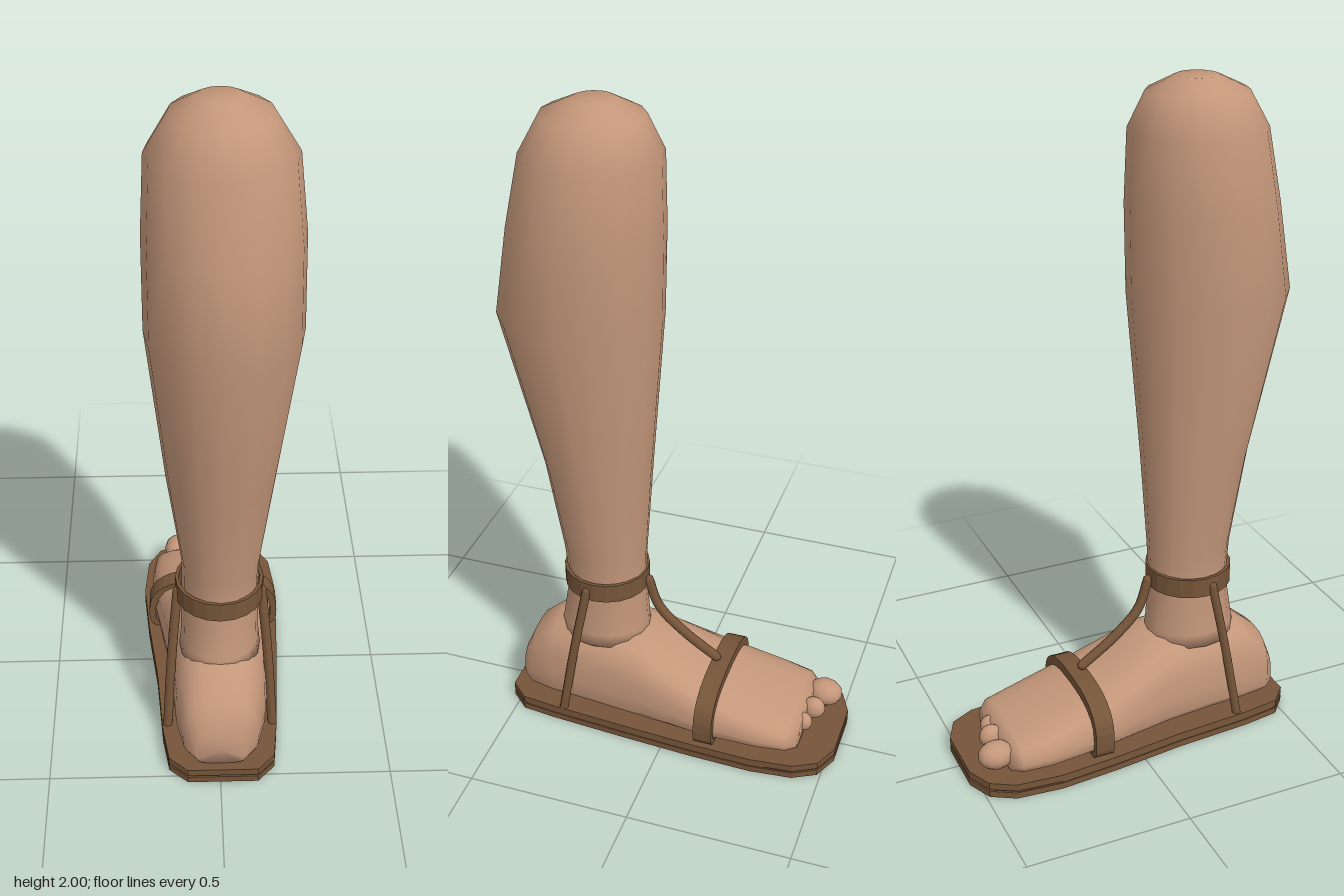
import * as THREE from 'three';

const skin = new THREE.MeshStandardMaterial({ color: 0xc4977a });
const leather = new THREE.MeshStandardMaterial({ color: 0x765539 });
const leatherThin = new THREE.MeshStandardMaterial({ color: 0x765539, side: THREE.DoubleSide });

// Skins a list of equal-length rings and closes both ends.
function loft(rings) {
  const n = rings[0].length, m = rings.length, pos = [], index = [];
  rings.forEach(r => r.forEach(p => pos.push(p.x, p.y, p.z)));
  for (let i = 0; i < m - 1; i++) for (let j = 0; j < n; j++) {
    const k = (j + 1) % n, a = i * n + j, b = i * n + k;
    index.push(a, b, b + n, a, b + n, a + n);
  }
  [rings[0], rings[m - 1]].forEach((r, e) => {
    const c = r.reduce((s, p) => s.add(p), new THREE.Vector3()).divideScalar(n);
    const ci = pos.length / 3, base = e * (m - 1) * n;
    pos.push(c.x, c.y, c.z);
    for (let j = 0; j < n; j++) {
      const a = base + j, b = base + (j + 1) % n;
      if (e) index.push(ci, a, b); else index.push(ci, b, a);
    }
  });
  const g = new THREE.BufferGeometry();
  g.setAttribute('position', new THREE.Float32BufferAttribute(pos, 3));
  g.setIndex(index);
  g.computeVertexNormals();
  return g;
}

// Squarish foot section: flat below, rounded above.
function footSection(z, xl, xr, top, bottom = 0.05, n = 20) {
  const cx = (xl + xr) / 2, rx = (xr - xl) / 2, yc = bottom + (top - bottom) * 0.35;
  return Array.from({ length: n }, (_, i) => {
    const a = i / n * Math.PI * 2, c = Math.cos(a), s = Math.sin(a);
    const p = s >= 0 ? 0.75 : 0.5;
    const x = cx + rx * Math.sign(c) * Math.abs(c) ** p;
    const y = yc + (s >= 0 ? top - yc : yc - bottom) * Math.sign(s) * Math.abs(s) ** p;
    return new THREE.Vector3(x, y, z);
  });
}

export function createModel() {
  const model = new THREE.Group();
  model.name = 'sandalledLeg';
  const add = (name, geometry, material) => {
    const mesh = new THREE.Mesh(geometry, material);
    mesh.name = name;
    model.add(mesh);
    return mesh;
  };

  // Lower leg: y, left and right edges in x, shin and calf edges in z
  const legRows = [
    [0.29, -0.115, 0.125, 0.095, 0.385], [0.33, -0.11, 0.12, 0.1, 0.375],
    [0.48, -0.105, 0.115, 0.11, 0.35], [0.6, -0.105, 0.12, 0.105, 0.36],
    [0.9, -0.145, 0.16, 0.085, 0.405], [1.39, -0.195, 0.223, 0.045, 0.52],
    [1.65, -0.195, 0.222, 0.04, 0.475], [1.86, -0.185, 0.202, 0.045, 0.43],
    [1.96, -0.125, 0.14, 0.09, 0.375], [2, -0.055, 0.065, 0.17, 0.29],
  ];
  add('lowerLeg', loft(legRows.map(([y, xl, xr, zf, zb]) =>
    Array.from({ length: 16 }, (_, i) => {
      const a = i / 16 * Math.PI * 2;
      return new THREE.Vector3((xl + xr) / 2 + Math.cos(a) * (xr - xl) / 2, y,
        (zf + zb) / 2 - Math.sin(a) * (zb - zf) / 2);
    }))), skin);

  // Foot, from the toe end back to the heel: z, side edges in x, top height
  const footRows = [
    [-0.415, -0.165, 0.125, 0.12], [-0.385, -0.19, 0.155, 0.142],
    [-0.3, -0.2, 0.17, 0.162], [-0.13, -0.19, 0.18, 0.217],
    [0, -0.17, 0.172, 0.275], [0.1, -0.155, 0.165, 0.32],
    [0.25, -0.14, 0.15, 0.333], [0.38, -0.13, 0.138, 0.322],
    [0.465, -0.108, 0.113, 0.25], [0.5, -0.07, 0.075, 0.17],
  ];
  add('foot', loft(footRows.map(r => footSection(...r))), skin);

  // Toes, big toe first: x, y, z, half sizes
  [
    [-0.113, 0.095, -0.445, 0.046, 0.042, 0.055],
    [-0.026, 0.1, -0.43, 0.029, 0.036, 0.036],
    [0.037, 0.093, -0.413, 0.024, 0.031, 0.028],
    [0.087, 0.085, -0.39, 0.023, 0.028, 0.027],
    [0.138, 0.08, -0.345, 0.022, 0.025, 0.028],
  ].forEach(([x, y, z, ...r], i) => {
    const toe = add('toe' + (i + 1), new THREE.SphereGeometry(1, 12, 9), skin);
    toe.position.set(x, y, z);
    toe.scale.set(...r);
  });

  // Sole in two layers, outline as x and z
  const outline = [
    [-0.1, -0.525], [0.08, -0.525], [0.155, -0.49], [0.192, -0.42], [0.205, -0.29],
    [0.2, -0.1], [0.188, 0.12], [0.172, 0.36], [0.16, 0.47], [0.11, 0.525],
    [-0.095, 0.525], [-0.15, 0.475], [-0.168, 0.36], [-0.185, 0.12],
    [-0.212, -0.1], [-0.227, -0.28], [-0.215, -0.42], [-0.175, -0.49],
  ];
  const soleLayer = (name, y, height, scale) => {
    const shape = new THREE.Shape(outline.map(([x, z]) => new THREE.Vector2(x * scale, -z * scale)));
    const g = new THREE.ExtrudeGeometry(shape, { depth: height, bevelEnabled: false });
    g.rotateX(-Math.PI / 2);
    add(name, g, leather).position.y = y;
  };
  soleLayer('outsole', 0, 0.02, 1);
  soleLayer('midsole', 0.02, 0.006, 0.985);
  soleLayer('insole', 0.026, 0.022, 1);

  // Band over the instep, its lower run buried in the sole
  const flat = (...r) => footSection(...r, 40).map(p => new THREE.Vector2(p.x, p.y));
  const band = new THREE.Shape(flat(0, -0.21, 0.2, 0.235, 0.034));
  band.holes.push(new THREE.Path(flat(0, -0.19, 0.18, 0.205, 0.045)));
  const bandGeometry = new THREE.ExtrudeGeometry(band, { depth: 0.058, bevelEnabled: false });
  add('instepBand', bandGeometry, leather).position.z = -0.165;

  // Ankle band
  const ankle = add('ankleBand', new THREE.LatheGeometry(
    [[0.92, -0.03], [1, -0.03], [1, 0.03], [0.92, 0.03], [0.92, -0.03]]
      .map(p => new THREE.Vector2(...p)), 20).toNonIndexed(), leatherThin);
  ankle.geometry.computeVertexNormals();
  ankle.scale.set(0.128, 1, 0.13);
  ankle.position.set(0.004, 0.503, 0.232);

  // Round straps
  const strap = (name, points, radius) => {
    const curve = new THREE.CatmullRomCurve3(points.map(p => new THREE.Vector3(...p)));
    add(name, new THREE.TubeGeometry(curve, 16, radius, 8), leather);
    [points[0], points[points.length - 1]].forEach(p =>
      add(name + 'End', new THREE.SphereGeometry(radius, 8, 6), leather).position.set(...p));
  };
  strap('frontStrap', [[0.004, 0.495, 0.098], [0.004, 0.4, 0.065],
    [0.004, 0.32, -0.015], [0.004, 0.247, -0.12]], 0.015);
  for (const [name, s] of [['left', 1], ['right', -1]])
    strap(name + 'SideStrap', [[0.004 + s * 0.122, 0.5, 0.255],
      [0.004 + s * 0.142, 0.28, 0.295], [0.004 + s * 0.157, 0.045, 0.333]], 0.014);

  return model;
}
